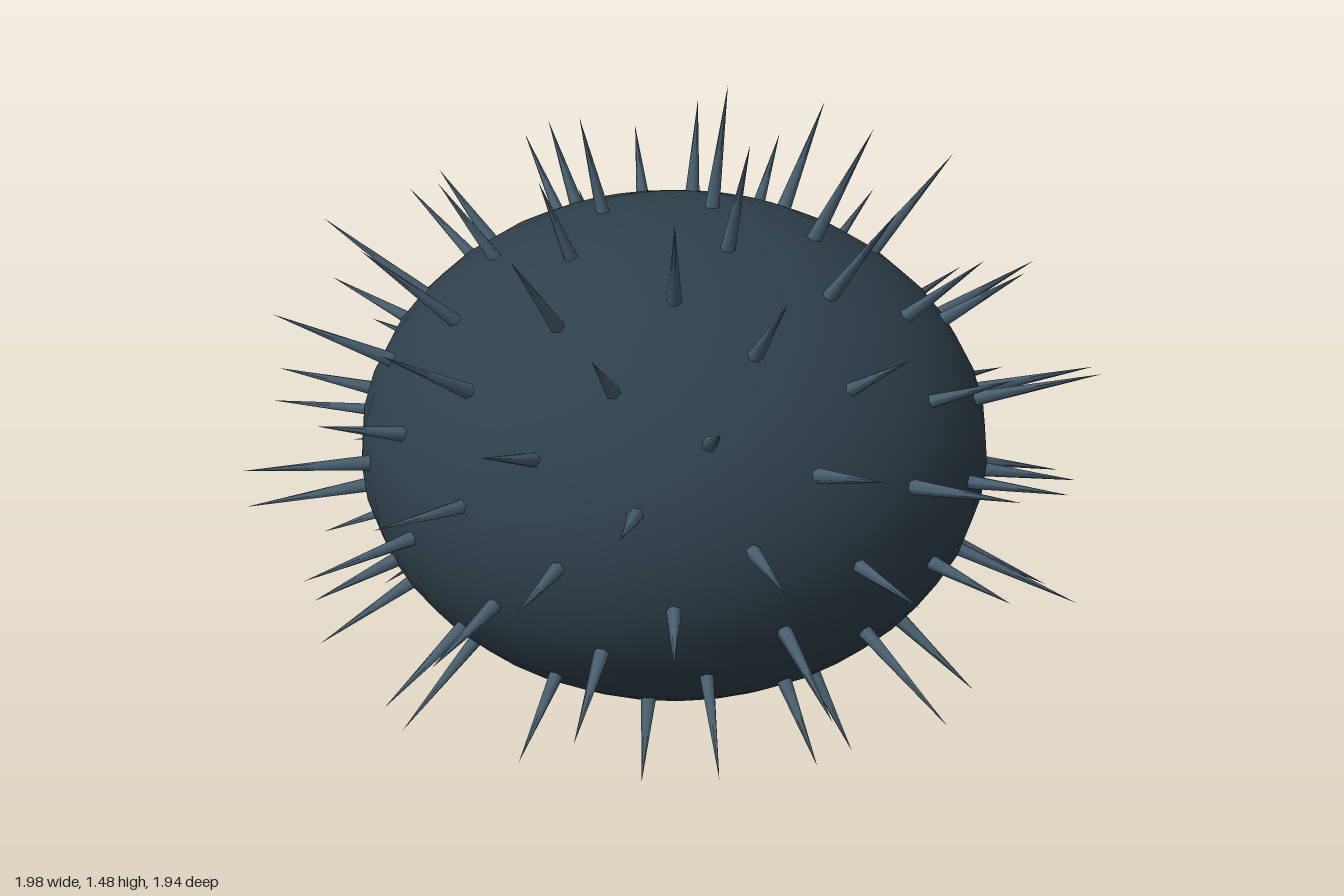
import * as THREE from 'three';

export function createModel() {
  const model = new THREE.Group();
  model.name = 'spinyUrchin';

  const centre = new THREE.Vector3(0.008, 0.655, -0.005);
  const radii = new THREE.Vector3(0.725, 0.56, 0.725);

  // Squashed round body
  const body = new THREE.Mesh(
    new THREE.SphereGeometry(1, 32, 20).scale(radii.x, radii.y, radii.z),
    new THREE.MeshStandardMaterial({ color: 0x2f404b })
  );
  body.name = 'body';
  body.position.copy(centre);
  model.add(body);

  // Tapered spines on a golden-angle spiral, leaving the underside bare
  const spines = new THREE.Group();
  spines.name = 'spines';
  model.add(spines);

  const spineMaterial = new THREE.MeshStandardMaterial({ color: 0x4a6070 });
  const spineGeometry = new THREE.ConeGeometry(0.018, 1, 6).translate(0, 0.5, 0);
  const lengths = [0.2, 0.285, 0.25, 0.185, 0.28, 0.21, 0.265, 0.24, 0.2,
    0.285, 0.2, 0.21, 0.267, 0.22, 0.278, 0.22, 0.24];
  const up = new THREE.Vector3(0, 1, 0);
  const count = 100;
  const sink = 0.02; // depth of each root below the surface

  for (let i = 0; i < count; i++) {
    const y = -0.8 + 1.8 * (i + 0.5) / count;
    const ring = Math.sqrt(1 - y * y);
    const angle = i * 2.399;
    const direction = new THREE.Vector3(Math.cos(angle) * ring, y, Math.sin(angle) * ring);

    const spine = new THREE.Mesh(spineGeometry, spineMaterial);
    spine.name = 'spine';
    spine.position.copy(direction).multiply(radii).add(centre).addScaledVector(direction, -sink);
    spine.quaternion.setFromUnitVectors(up, direction);
    spine.scale.y = lengths[i % lengths.length] + sink;
    spines.add(spine);
  }

  return model;
}
